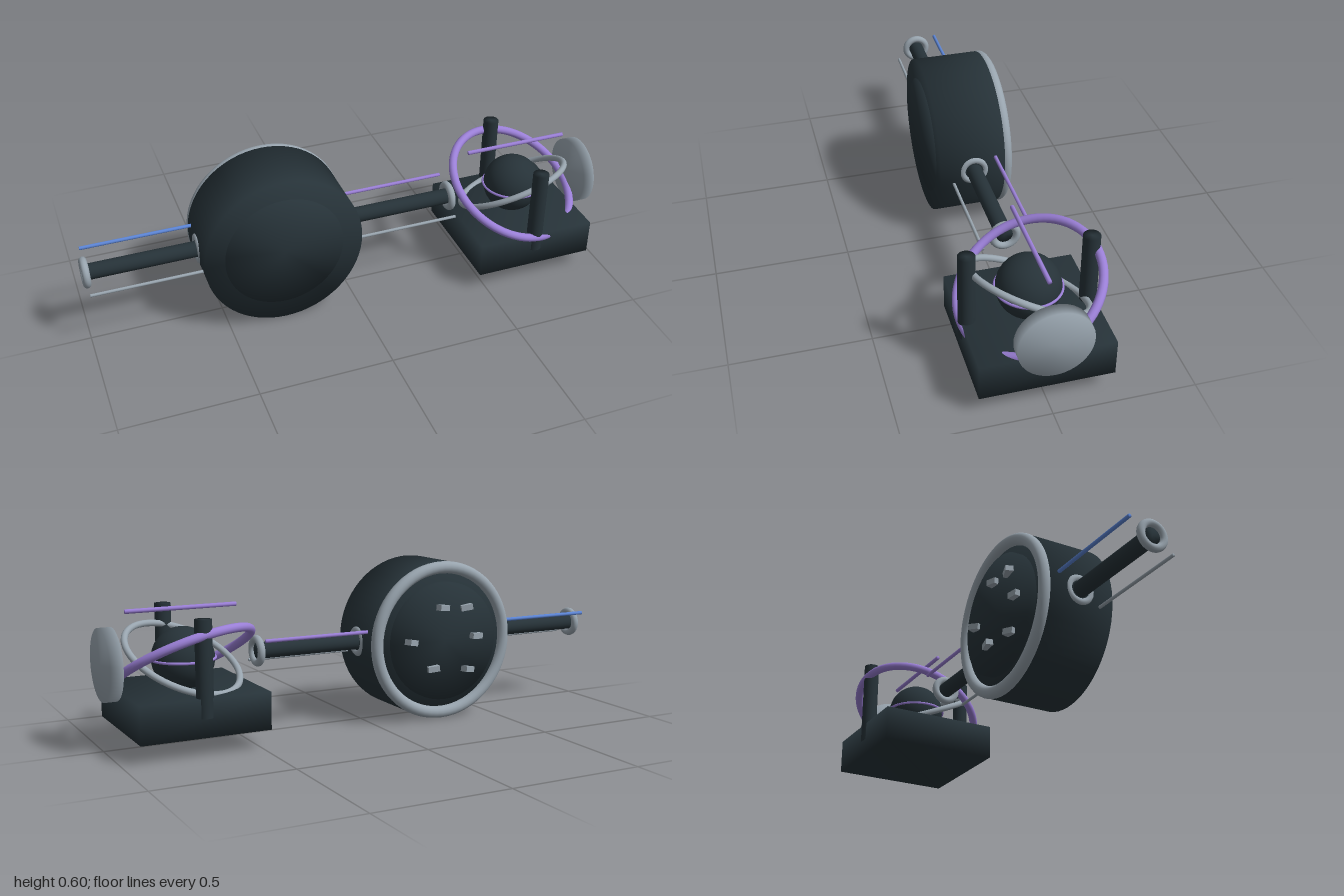
import * as THREE from 'three';
import { mergeVertices } from 'three/addons/utils/BufferGeometryUtils.js';

const mat = (name, color) => {
  const m = new THREE.MeshStandardMaterial({ color });
  m.name = name;
  return m;
};

// Weld the corners so shading flows softly over the edges
function soften(geo) {
  geo.deleteAttribute('uv');
  geo.deleteAttribute('normal');
  const g = mergeVertices(geo, 1e-4);
  g.computeVertexNormals();
  return g;
}

export function createModel() {
  const group = new THREE.Group();
  const dark = mat('dark hull', 0x263238);
  const grey = mat('pale grey metal', 0x98a4ae);
  const purple = mat('purple', 0x9a7fd6);
  const blue = mat('blue', 0x5c85d6);

  const CY = 0.305; // height of the main axis
  const DX = -0.28; // drum centre
  const PX = 0.705; // platform centre

  const add = (name, geo, material, x, y, z) => {
    const m = new THREE.Mesh(geo, material);
    m.name = name;
    m.position.set(x, y, z);
    group.add(m);
    return m;
  };
  const cyl = (r, h, seg = 32) => soften(new THREE.CylinderGeometry(r, r, h, seg));
  const rodX = (name, r, x0, x1, y, z, material, seg = 24) =>
    add(name, cyl(r, x1 - x0, seg).rotateZ(Math.PI / 2), material, (x0 + x1) / 2, y, z);

  // Drum with rear rim and raised rear plate
  add('drum', cyl(0.3, 0.26, 64).rotateX(Math.PI / 2), dark, DX, CY, 0);
  add('drumCore', cyl(0.225, 0.287, 48).rotateX(Math.PI / 2), dark, DX, CY, -0.0115);
  add('rearRim', new THREE.TorusGeometry(0.279, 0.023, 16, 64), grey, DX, CY, -0.13);

  // Small raised blocks on the rear plate: x, y, turn
  [[0.015, 0.13, 0.2], [-0.09, 0.125, -0.3], [0.15, 0.008, 0.4],
    [-0.135, 0.012, 0.1], [0.055, -0.1, -0.2], [-0.1, -0.115, 0.3]].forEach(([x, y, turn], i) => {
    const b = add('rearBlock' + i, new THREE.BoxGeometry(0.045, 0.022, 0.03), grey, DX + x, CY + y, -0.162);
    b.rotation.set(0, turn, turn * 0.5);
  });

  // Two arms with collars and parallel guide rods
  for (const s of [-1, 1]) {
    const side = s < 0 ? 'right' : 'left';
    const a = DX + s * 0.2, b = DX + s * 0.705;
    const x0 = Math.min(a, b), x1 = Math.max(a, b);
    rodX(side + 'Arm', 0.03, x0, x1, CY, 0, dark);
    for (const d of [0.29, 0.705]) {
      add(side + 'Collar', new THREE.TorusGeometry(0.044, 0.014, 12, 32).rotateY(Math.PI / 2),
        grey, DX + s * d, CY, 0);
    }
    rodX(side + 'UpperRod', 0.007, x0, x1, 0.353, -0.083, s < 0 ? blue : purple, 10);
    rodX(side + 'LowerRod', 0.006, x0, x1, 0.258, 0.079, grey, 10);
  }

  // Platform and its two posts
  add('platform', soften(new THREE.BoxGeometry(0.467, 0.135, 0.467)), dark, PX, 0.1375, 0);
  for (const s of [-1, 1]) add('post', cyl(0.03, 0.335), dark, PX, 0.3045, s * 0.2125);

  // Core sphere with a thin equator band
  add('coreSphere', new THREE.SphereGeometry(0.112, 32, 24), dark, PX, CY, 0);
  add('equatorBand', new THREE.TorusGeometry(0.114, 0.005, 8, 48).rotateX(Math.PI / 2), purple, PX, CY, 0);

  // Tilted orbit rings, each turned to its plane's normal
  const ring = (name, R, r, material, nx, ny, nz) => {
    const m = add(name, new THREE.TorusGeometry(R, r, 14, 72), material, PX, CY, 0);
    m.quaternion.setFromUnitVectors(new THREE.Vector3(0, 0, 1), new THREE.Vector3(nx, ny, nz).normalize());
  };
  ring('outerRing', 0.257, 0.016, purple, 0.25, 1, 0.5);
  ring('innerRing', 0.215, 0.012, grey, -0.3, 1, -0.47);

  // Top rod and end dish
  rodX('topRod', 0.008, 0.503, 0.908, 0.483, 0, purple, 10);
  rodX('endDish', 0.128, 0.955, 1, CY, 0, grey, 48);

  return group;
}
